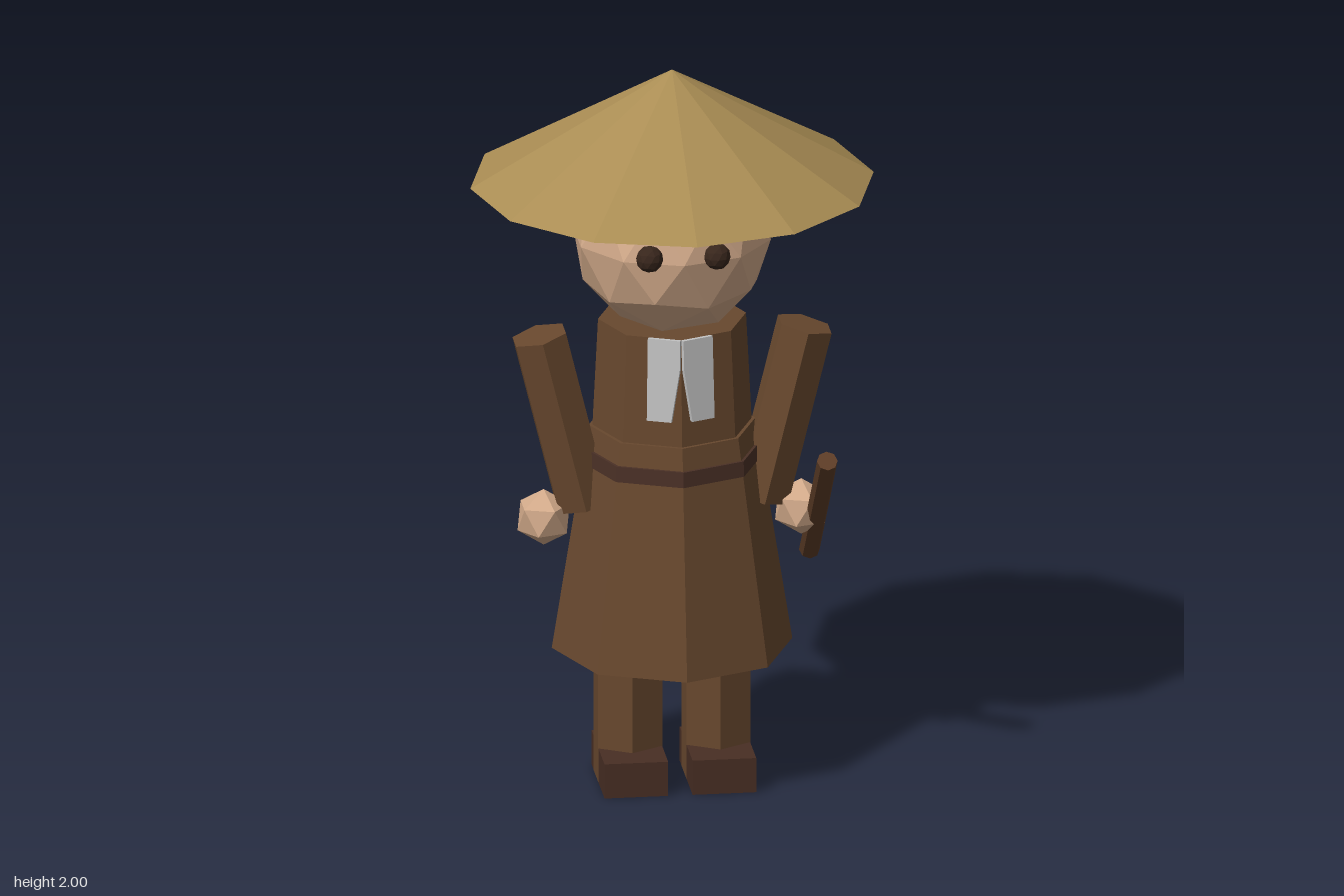
import * as THREE from 'three';

export function createModel() {
  const model = new THREE.Group();
  model.name = 'travellerInStrawHat';

  const mat = (name, color, extra = {}) => {
    const m = new THREE.MeshStandardMaterial({ color, flatShading: true, ...extra });
    m.name = name;
    return m;
  };
  const straw = mat('straw', 0xaa8d54);
  const skin = mat('skin', 0xd2aa8a);
  const hairBrown = mat('hairBrown', 0x6b452d);
  const robe = mat('robeBrown', 0x68482e);
  const beltBrown = mat('beltBrown', 0x4a3026);
  const shoeBrown = mat('shoeBrown', 0x482e24);
  const eyeDark = mat('eyeDark', 0x38261c);
  const wood = mat('stickWood', 0x5e3d27);
  const cloth = mat('greyCloth', 0xc4c4c4);

  const add = (name, geometry, material, x = 0, y = 0, z = 0) => {
    const mesh = new THREE.Mesh(geometry, material);
    mesh.name = name;
    mesh.position.set(x, y, z);
    model.add(mesh);
    return mesh;
  };

  // Icosphere standing on a corner, so that its rings lie level
  const ball = (radius, detail) => {
    const g = new THREE.IcosahedronGeometry(radius, detail);
    g.rotateX(-Math.atan((1 + Math.sqrt(5)) / 2));
    g.rotateY(Math.PI / 2);
    return g;
  };
  // Tapered prism between two heights
  const prism = (name, rTop, rBottom, yTop, yBottom, sides, material, x = 0) =>
    add(name, new THREE.CylinderGeometry(rTop, rBottom, yTop - yBottom, sides),
      material, x, (yTop + yBottom) / 2, 0);

  // Hat, head and hair
  add('hat', new THREE.ConeGeometry(0.545, 0.315, 12), straw, 0, 1.8425, 0);
  add('head', ball(0.27, 1), skin, 0, 1.535, 0);
  add('hair', ball(0.272, 2), hairBrown, 0, 1.652, -0.057);

  // Robe: bodice, skirt and belt
  prism('bodice', 0.2, 0.216, 1.3, 0.98, 8, robe);
  prism('skirt', 0.225, 0.325, 1.0, 0.37, 8, robe);
  prism('belt', 0.243, 0.245, 0.938, 0.895, 8, beltBrown);

  for (const s of [1, -1]) {
    const side = s > 0 ? 'left' : 'right';

    add(side + 'Eye', ball(0.037, 1), eyeDark, s * 0.091, 1.55, 0.243);

    // Collar flap lying on the front facet of the bodice
    const flap = new THREE.Shape([[0, 0], [0.09, 0], [0.09, -0.23], [0.022, -0.23], [0, -0.083]]
      .map(([u, v]) => new THREE.Vector2(s * u, v)));
    const flapGeometry = new THREE.ExtrudeGeometry(flap, { depth: 0.02, bevelEnabled: false });
    flapGeometry.translate(0, 0, -0.008);
    const collar = add(side + 'CollarFlap', flapGeometry, cloth, 0, 1.3, 0.2);
    collar.rotation.set(-0.046, s * Math.PI / 8, 0, 'YXZ');

    // Arm leaning outward at the top, with its hand
    const arm = add(side + 'Arm', new THREE.CylinderGeometry(0.08, 0.08, 0.495, 6),
      robe, s * 0.3, 1.02, 0);
    arm.rotation.z = -s * 0.24;
    add(side + 'Hand', ball(0.079, 0), skin, s * 0.348, 0.747, 0.01);

    // Leg and shoe
    prism(side + 'Leg', 0.1, 0.1, 0.5, 0, 6, robe, s * 0.119);
    add(side + 'Shoe', new THREE.BoxGeometry(0.172, 0.097, 0.277), shoeBrown,
      s * 0.119, 0.0475, 0.0415);
  }

  // Walking stick in the left hand
  const stick = add('stick', new THREE.CylinderGeometry(0.028, 0.028, 0.545, 8),
    wood, 0.384, 0.776, 0.09);
  stick.rotation.x = Math.PI / 4;

  return model;
}
